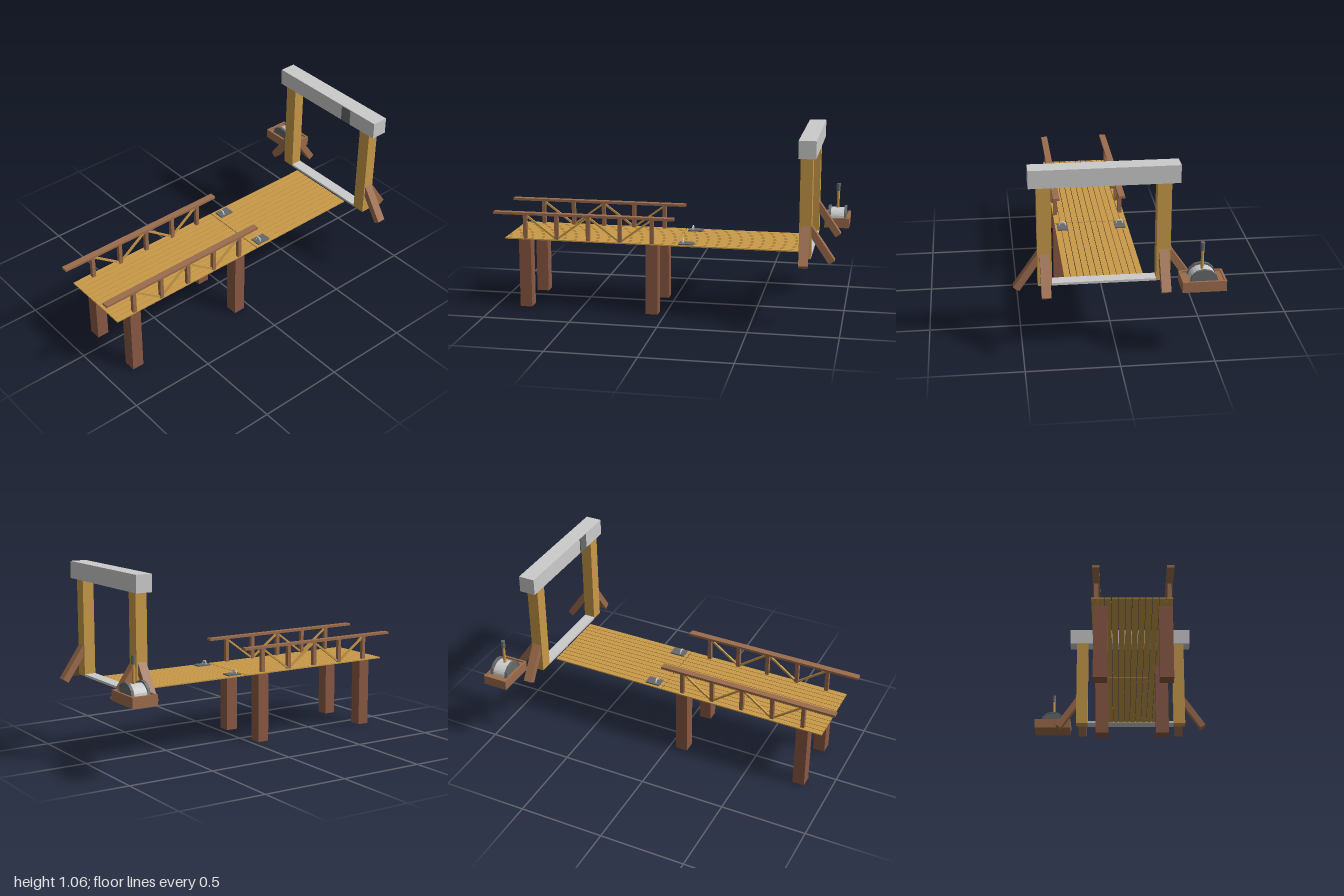
import * as THREE from 'three';

const mat = (color) => new THREE.MeshStandardMaterial({ color, flatShading: true });

export function createModel() {
  const root = new THREE.Group();
  const tan = mat(0xc99a48), brown = mat(0x9c6c4c), pile = mat(0x895843);
  const grey = mat(0xcccccc), dark = mat(0x66686a);

  const add = (name, geo, material, parent = root) => {
    const m = new THREE.Mesh(geo, material);
    m.name = name;
    parent.add(m);
    return m;
  };
  // Box given by its limits on each axis
  const box = (name, material, [x0, x1], [y0, y1], [z0, z1], parent = root) => {
    const m = add(name, new THREE.BoxGeometry(x1 - x0, y1 - y0, z1 - z0), material, parent);
    m.position.set((x0 + x1) / 2, (y0 + y1) / 2, (z0 + z1) / 2);
    return m;
  };
  // Square beam between two points; w is the width in the bending plane, d across it
  const beam = (name, material, a, b, w, d, across, parent = root) => {
    const dir = b.clone().sub(a);
    const m = add(name, new THREE.BoxGeometry(w, dir.length(), d), material, parent);
    const y = dir.normalize(), x = y.clone().cross(across);
    m.quaternion.setFromRotationMatrix(new THREE.Matrix4().makeBasis(x, y, across));
    m.position.copy(a).add(b).multiplyScalar(0.5);
    return m;
  };
  const V = (x, y, z) => new THREE.Vector3(x, y, z);

  // Deck: a fixed and a lifting panel of lengthwise planks
  const z0 = -0.147, pitch = 0.035;
  for (const [name, x0, x1] of [['fixedDeck', -0.935, 0.05], ['liftingDeck', 0.055, 0.753]]) {
    const deck = new THREE.Group();
    deck.name = name;
    root.add(deck);
    for (let i = 0; i < 12; i++) {
      const z = z0 + i * pitch;
      box('plank', tan, [x0, x1], [0.405, 0.412], [z + 0.0015, z + pitch - 0.0015], deck);
    }
  }

  // Supporting piles
  for (const [x, y] of [[-0.817, 0.006], [-0.075, 0]])
    for (const z of [-0.1, 0.237])
      box('pile', pile, [x - 0.035, x + 0.035], [y, 0.406], [z - 0.036, z + 0.036]);

  // Railings with uprights and zigzag bracing
  const xs = [-0.815, -0.63, -0.445, -0.26, -0.075];
  for (const z of [-0.122, 0.259]) {
    const rail = new THREE.Group();
    rail.name = 'railing';
    root.add(rail);
    box('handrail', brown, [-1, 0.052], [0.55, 0.564], [z - 0.019, z + 0.019], rail);
    xs.forEach((x, i) => {
      box('railPost', brown, [x - 0.011, x + 0.011], [0.411, 0.551], [z - 0.011, z + 0.011], rail);
      if (i === 4) return;
      const [ya, yb] = i % 2 ? [0.412, 0.549] : [0.549, 0.412];
      beam('railBrace', tan, V(x, ya, z), V(xs[i + 1], yb, z), 0.011, 0.011, V(0, 0, 1), rail);
    });
  }

  // Gate: posts with two leaning struts each, lintel and sill
  const gx = 0.797;
  for (const [z, s] of [[0.378, 1], [-0.242, -1]]) {
    const post = new THREE.Group();
    post.name = 'gatePost';
    root.add(post);
    box('post', tan, [gx - 0.033, gx + 0.033], [0.407, 0.962], [z - 0.037, z + 0.037], post);
    beam('sideStrut', brown, V(gx, 0.389, z + s * 0.15), V(gx, 0.576, z + s * 0.022),
      0.038, 0.05, V(1, 0, 0), post);
    beam('endStrut', brown, V(gx + 0.146, 0.389, z), V(gx + 0.018, 0.576, z),
      0.038, 0.05, V(0, 0, 1), post);
  }
  box('lintel', grey, [0.754, 0.849], [0.96, 1.057], [-0.322, 0.456]);
  box('lintelPlate', dark, [0.75, 0.756], [0.963, 1.054], [0.2, 0.268]);
  box('sill', grey, [gx - 0.033, gx + 0.033], [0.406, 0.419], [-0.206, 0.342]);

  // Lifting rings on plates
  for (const z of [-0.1, 0.23]) {
    box('ringPlate', dark, [0.075, 0.16], [0.411, 0.419], [z - 0.03, z + 0.03]);
    const ring = add('liftingRing', new THREE.TorusGeometry(0.018, 0.0045, 6, 16), grey);
    ring.rotation.y = Math.PI / 2;
    ring.position.set(0.1, 0.421, z);
  }

  // Lever box: shallow tray with a raised rim
  const lever = new THREE.Group();
  lever.name = 'leverBox';
  root.add(lever);
  const cx = 0.927, cz = -0.432, hx = 0.073, hz = 0.115;
  box('tray', brown, [cx - hx, cx + hx], [0.412, 0.462], [cz - hz, cz + hz], lever);
  for (const s of [-1, 1]) {
    const side = box('rim', brown, [-0.006, 0.006], [0.46, 0.47], [-hz, hz], lever);
    side.position.set(cx + s * (hx - 0.006), 0.465, cz);
    const end = box('rim', brown, [-hx, hx], [0.46, 0.47], [-0.006, 0.006], lever);
    end.position.set(cx, 0.465, cz + s * (hz - 0.006));
  }

  // Arched housing: two cheeks with thicker bands and a lower curved cover between
  const arch = (r, h, steps = 6) => Array.from({ length: steps + 1 }, (_, i) => {
    const a = Math.PI * i / steps;
    return new THREE.Vector2(Math.cos(a) * r, Math.sin(a) * h);
  });
  const extrude = (name, shape, depth, x, material) => {
    const g = new THREE.ExtrudeGeometry(shape, { depth, bevelEnabled: false });
    g.translate(0, 0, -depth / 2).rotateY(Math.PI / 2);
    add(name, g, material, lever).position.set(x, 0.462, cz);
  };
  const band = new THREE.Shape([...arch(0.074, 0.066), ...arch(0.064, 0.056).reverse()]);
  for (const s of [-1, 1]) {
    extrude('cheek', new THREE.Shape(arch(0.068, 0.06)), 0.008, cx + s * 0.047, dark);
    extrude('cheekBand', band, 0.016, cx + s * 0.047, dark);
  }
  extrude('cover', new THREE.Shape(arch(0.068, 0.052, 12)), 0.088, cx, grey);

  // Lever with grip
  const rod = (name, r, y0, y1, m) => {
    add(name, new THREE.CylinderGeometry(r, r, y1 - y0, 12), m, lever)
      .position.set(cx, (y0 + y1) / 2, cz + 0.004);
  };
  rod('leverRod', 0.0085, 0.47, 0.62, tan);
  rod('leverGrip', 0.012, 0.616, 0.661, dark);

  return root;
}
